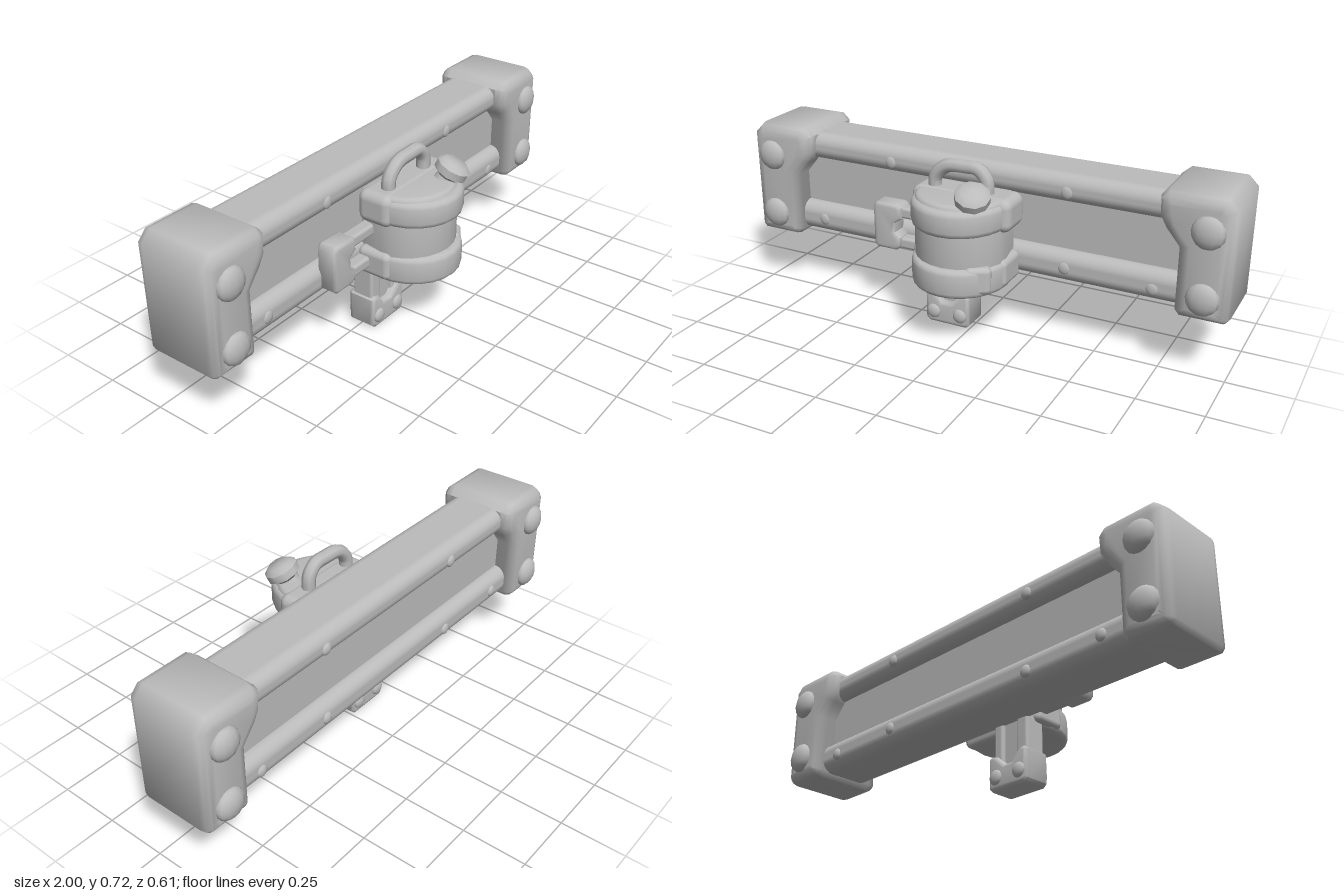
import * as THREE from 'three';
import { toCreasedNormals } from 'three/addons/utils/BufferGeometryUtils.js';
import { RoundedBoxGeometry } from 'three/addons/geometries/RoundedBoxGeometry.js';

export function createModel() {
  const root = new THREE.Group();
  const grey = new THREE.MeshStandardMaterial({ color: 0xbcbcbc });
  grey.name = 'plain grey';

  const add = (name, geo, parent = root) => {
    const mesh = new THREE.Mesh(geo, grey);
    mesh.name = name;
    parent.add(mesh);
    return mesh;
  };
  // Rounded block given by its limits
  const block = (name, x0, x1, y0, y1, z0, z1, r = 0.02) => {
    const m = add(name, new RoundedBoxGeometry(x1 - x0, y1 - y0, z1 - z0, 4, r));
    m.position.set((x0 + x1) / 2, (y0 + y1) / 2, (z0 + z1) / 2);
    return m;
  };
  // Outline extruded from z0 to z1 with soft edges; the outline is the full size
  const slab = (points, z0, z1, bevel) => {
    const g = new THREE.ExtrudeGeometry(new THREE.Shape(points.map(p => new THREE.Vector2(...p))), {
      depth: z1 - z0 - 2 * bevel, bevelThickness: bevel, bevelSize: bevel,
      bevelOffset: -bevel, bevelSegments: 3,
    });
    g.translate(0, 0, z0 + bevel);
    return toCreasedNormals(g, 0.85);
  };
  // Low smooth swelling of radius r and height h, shared by front and back faces
  const bump = (x, y, z, r, h) => {
    const m = add('bump', new THREE.SphereGeometry(1, 12, 8));
    m.scale.set(r, r, h);
    m.position.set(x, y, z);
  };

  // Long frame: two rounded beams and the recessed panel
  block('topBeam', -0.8, 0.8, 0.575, 0.684, -0.23, 0.01, 0.048);
  block('bottomBeam', -0.85, 0.85, 0.26, 0.382, -0.23, 0.01, 0.048);
  block('panel', -0.84, 0.84, 0.34, 0.61, -0.182, -0.038, 0.005);
  for (const [x, y] of [[-0.37, 0.62], [0.37, 0.62], [-0.7, 0.32], [0.37, 0.32], [0.71, 0.31], [-0.36, 0.31]]) {
    bump(x, y, -0.226, 0.025, 0.014);
    bump(x, y, 0.006, 0.025, 0.01);
  }

  // End caps, wider at the top, with low swellings front and back
  for (const s of [-1, 1]) {
    const outline = [[0.8, 0.265], [0.82, 0.242], [0.985, 0.242], [1, 0.26], [1, 0.67], [0.96, 0.71],
      [0.755, 0.71], [0.722, 0.68], [0.725, 0.61], [0.75, 0.565], [0.8, 0.505]]
      .map(([x, y]) => [s * x, y]);
    if (s < 0) outline.reverse();
    add('endCap', slab(outline, -0.272, 0.06, 0.045));
    for (const y of [0.585, 0.335]) {
      bump(s * 0.905, y, 0.058, 0.062, 0.031);
      bump(s * 0.905, y, -0.27, 0.062, 0.035);
    }
  }

  // Canister: D-shaped layers stacked in y
  const layer = (name, rx, front, y0, y1, bevel) => {
    const pts = [[-rx * 0.9, 0], [rx * 0.9, 0]];
    for (let i = 0; i <= 12; i++) {
      const a = i / 12 * Math.PI;
      pts.push([rx * Math.cos(a), 0.1 + (front - 0.1) * Math.sin(a)]);
    }
    const g = slab(pts, -y1, -y0, bevel);
    g.rotateX(Math.PI / 2);
    add(name, g).position.x = -0.005;
  };
  layer('canisterBody', 0.181, 0.276, 0.26, 0.597, 0.02);
  layer('canisterBase', 0.19, 0.305, 0.243, 0.355, 0.02);
  layer('canisterShoulder', 0.19, 0.305, 0.48, 0.583, 0.022);
  block('backYoke', -0.205, 0.205, 0.47, 0.6, 0, 0.148, 0.035);
  block('lowerYoke', -0.205, 0.19, 0.25, 0.362, 0, 0.145, 0.025);
  block('basePad', 0.055, 0.155, 0.255, 0.362, 0.15, 0.25, 0.02).rotation.y = 0.55;

  // Tilted filler cap on a short neck
  const filler = new THREE.Group();
  filler.name = 'fillerCap';
  filler.position.set(0.08, 0.572, 0.195);
  filler.quaternion.setFromUnitVectors(new THREE.Vector3(0, 1, 0), new THREE.Vector3(0.24, 0.85, 0.36).normalize());
  root.add(filler);
  add('neck', new THREE.CylinderGeometry(0.036, 0.05, 0.06, 10), filler).position.y = 0.02;
  const lid = [[0, 0.03], [0.045, 0.03], [0.066, 0.045], [0.067, 0.075], [0.045, 0.094], [0, 0.096]]
    .map(p => new THREE.Vector2(...p));
  add('lid', toCreasedNormals(new THREE.LatheGeometry(lid, 10), 0.7), filler);

  // Carry handle
  const arch = new THREE.CatmullRomCurve3([[-0.125, 0.57], [-0.122, 0.635], [-0.075, 0.68], [0, 0.688], [0.055, 0.685], [0.088, 0.65], [0.092, 0.57]]
    .map(([x, y]) => new THREE.Vector3(x, y, 0.09)));
  add('handle', new THREE.TubeGeometry(arch, 24, 0.027, 8));

  // Side bracket, notched on its inner side, with two arms
  const bracket = [[-0.405, 0.28], [-0.32, 0.28], [-0.3, 0.3], [-0.3, 0.335], [-0.325, 0.355], [-0.325, 0.395],
    [-0.295, 0.415], [-0.295, 0.46], [-0.31, 0.472], [-0.405, 0.472], [-0.42, 0.455], [-0.42, 0.295]];
  add('sideBracket', slab(bracket, -0.01, 0.075, 0.015));
  for (const y of [0.31, 0.438]) block('bracketArm', -0.34, -0.16, y - 0.023, y + 0.023, 0.005, 0.06, 0.012);

  // Lower grip: two posts, a recessed web and a foot
  block('gripPost', -0.185, -0.13, 0.05, 0.3, -0.036, 0.055, 0.012);
  block('gripPost', -0.06, -0.015, 0.05, 0.3, -0.036, 0.055, 0.012);
  block('gripWeb', -0.15, -0.03, 0.05, 0.3, -0.02, 0.04, 0.005);
  const foot = [[-0.175, 0], [-0.015, 0], [0, 0.015], [0, 0.13], [-0.015, 0.142], [-0.04, 0.135],
    [-0.08, 0.095], [-0.12, 0.095], [-0.15, 0.135], [-0.175, 0.142], [-0.192, 0.13], [-0.192, 0.015]];
  add('gripFoot', slab(foot, -0.052, 0.068, 0.015));
  for (const x of [-0.155, -0.04]) {
    bump(x, 0.05, 0.067, 0.03, 0.014);
    bump(x, 0.05, -0.051, 0.03, 0.014);
  }
  return root;
}
